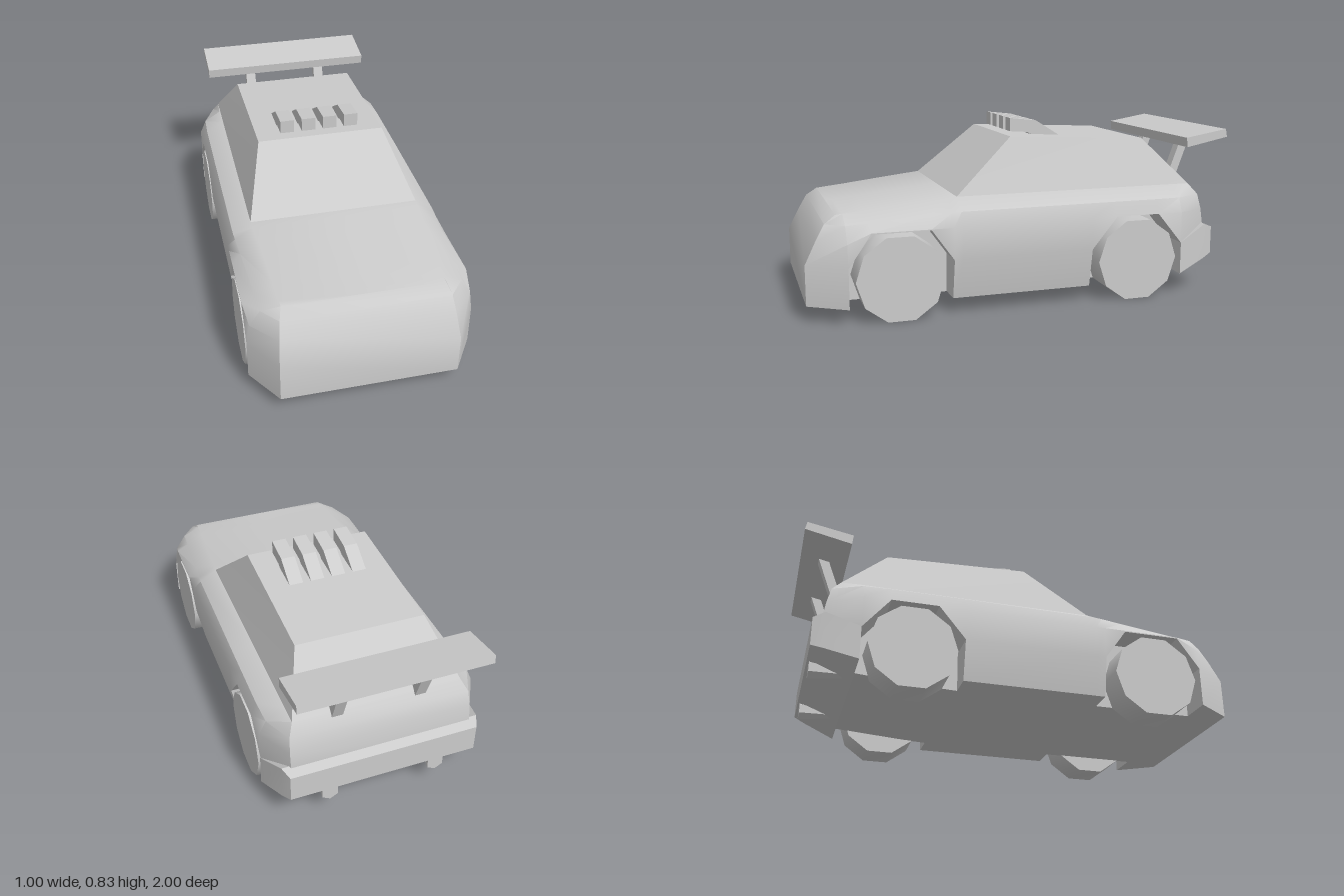
import * as THREE from 'three';
import { toCreasedNormals } from 'three/addons/utils/BufferGeometryUtils.js';

const grey = new THREE.MeshStandardMaterial({ color: 0xcccccc });

function add(parent, name, geometry) {
  const mesh = new THREE.Mesh(geometry, grey);
  mesh.name = name;
  parent.add(mesh);
  return mesh;
}

// Skins mirrored half-sections (bottom centre, up the +x side, top centre), listed front to back.
function loft(stations, crease) {
  const pos = [];
  const v = (p) => new THREE.Vector3(...p);
  const tri = (a, b, c) => {
    const area = v(b).sub(v(a)).cross(v(c).sub(v(a))).length();
    if (area > 1e-6) pos.push(...a, ...b, ...c);
  };
  const quad = (a, b, c, d) => { tri(a, b, c); tri(a, c, d); };
  const flip = ([x, y, z]) => [-x, y, z];
  const n = stations[0].length - 1;
  for (let s = 0; s < stations.length - 1; s++) {
    const f = stations[s], r = stations[s + 1];
    for (let k = 0; k < n; k++) {
      quad(f[k], r[k], r[k + 1], f[k + 1]);
      quad(flip(f[k + 1]), flip(r[k + 1]), flip(r[k]), flip(f[k]));
    }
  }
  const front = stations[0], rear = stations[stations.length - 1];
  for (let k = 0; k < n; k++) {
    quad(front[k], front[k + 1], flip(front[k + 1]), flip(front[k]));
    quad(flip(rear[k]), flip(rear[k + 1]), rear[k + 1], rear[k]);
  }
  const g = new THREE.BufferGeometry();
  g.setAttribute('position', new THREE.Float32BufferAttribute(pos, 3));
  return toCreasedNormals(g, crease);
}

// Side profile given as [z, y], extruded across x and centred.
function sidePrism(points, width) {
  const shape = new THREE.Shape(points.map(([z, y]) => new THREE.Vector2(z, y)));
  const g = new THREE.ExtrudeGeometry(shape, { depth: width, bevelEnabled: false });
  return g.translate(0, 0, -width / 2).rotateY(-Math.PI / 2);
}

// One body station: floor, wheel-well wall, sill, waist, shoulder, upper edge, deck.
function section(z, floor, bottom, sillX, waistY, upper, deck) {
  const [ux, uy] = upper, [dx, dy] = deck;
  return [
    [0, floor, z], [0.35, floor, z], [0.35, bottom, z], [sillX, bottom, z], [0.5, waistY, z],
    [0.5, Math.max(0.395, waistY), z], [ux, uy, z], [dx, dy, z], [0, dy, z],
  ];
}

function bodyStations() {
  const nose = [
    [0, 0.07, 1], [0.35, 0.07, 1], [0.35, 0.07, 1], [0.39, 0.07, 1], [0.39, 0.25, 1],
    [0.38, 0.35, 0.95], [0.37, 0.42, 0.91], [0.355, 0.455, 0.86], [0, 0.455, 0.86],
  ];
  const tail = [
    [0, 0.16, -0.88], [0.35, 0.16, -0.88], [0.35, 0.16, -0.88], [0.41, 0.16, -0.88], [0.415, 0.25, -0.9],
    [0.415, 0.39, -0.878], [0.41, 0.46, -0.86], [0.385, 0.51, -0.82], [0, 0.51, -0.82],
  ];
  const cheek = (bottom) => {
    const s = section(0.83, 0.07, bottom, 0.5, 0.25, [0.437, 0.42], [0.357, 0.458]);
    s[5] = [0.485, 0.35, 0.83];
    return s;
  };
  const u = [0.475, 0.46], d = [0.39, 0.51];
  return [
    nose,
    cheek(0.07), cheek(0.25),
    // front wheel arch
    section(0.73, 0.07, 0.39, 0.5, 0.39, [0.443, 0.428], [0.362, 0.468]),
    section(0.47, 0.07, 0.39, 0.5, 0.39, [0.462, 0.448], [0.38, 0.496]),
    section(0.37, 0.07, 0.25, 0.5, 0.25, [0.47, 0.456], [0.387, 0.506]),
    // door sills
    section(0.37, 0.07, 0.07, 0.465, 0.25, [0.47, 0.456], [0.387, 0.506]),
    section(0.33, 0.07, 0.07, 0.465, 0.25, [0.473, 0.458], d),
    section(-0.28, 0.07, 0.07, 0.465, 0.25, u, d),
    // rear wheel arch
    section(-0.28, 0.07, 0.25, 0.5, 0.25, u, d),
    section(-0.4, 0.075, 0.395, 0.5, 0.395, u, d),
    section(-0.61, 0.09, 0.395, 0.5, 0.395, u, d),
    section(-0.73, 0.1, 0.25, 0.5, 0.25, [0.47, 0.46], d),
    section(-0.73, 0.1, 0.1, 0.5, 0.25, [0.47, 0.46], d),
    tail,
  ];
}

export function createModel() {
  const car = new THREE.Group();
  car.name = 'car';

  add(car, 'body', loft(bodyStations(), 0.6));

  // Cabin with sloping windscreen, side glass and rear window
  add(car, 'cabin', loft([
    [[0, 0.51, 0.33], [0.39, 0.51, 0.33], [0.297, 0.757, 0.05], [0, 0.757, 0.05]],
    [[0, 0.51, -0.82], [0.385, 0.51, -0.82], [0.297, 0.727, -0.61], [0, 0.727, -0.61]],
  ], 0.3));

  // Rear bumper wrapping the tail
  const bumper = [[-0.73, 0.502, 0.1, 0.25], [-0.88, 0.455, 0.152, 0.32], [-0.93, 0.432, 0.17, 0.3]];
  add(car, 'rearBumper', loft(bumper.map(([z, x, low, high]) =>
    [[0, low, z], [x, low, z], [x, high, z], [0, high, z]]), 0.4));

  // Ten-sided wheels
  const wheel = new THREE.CylinderGeometry(0.195, 0.195, 0.157, 10).rotateZ(Math.PI / 2);
  const wheelGeo = toCreasedNormals(wheel, 0.7);
  for (const [end, z] of [['front', 0.607], ['rear', -0.507]]) {
    for (const side of [1, -1]) {
      add(car, end + (side > 0 ? 'LeftWheel' : 'RightWheel'), wheelGeo).position.set(side * 0.424, 0.1855, z);
    }
  }

  // Roof scoops
  const scoop = sidePrism([[0.015, 0.768], [0.015, 0.83], [-0.115, 0.815], [-0.23, 0.743],
    [-0.1, 0.745], [-0.07, 0.762]], 0.065);
  for (let i = 0; i < 4; i++) add(car, 'roofScoop', scoop).position.x = -0.153 + i * 0.102;

  // Rear wing on two struts
  add(car, 'wing', sidePrism([[-0.785, 0.735], [-0.79, 0.69], [-1, 0.732], [-0.993, 0.77]], 0.85));
  const strut = sidePrism([[-0.785, 0.48], [-0.83, 0.48], [-0.92, 0.722], [-0.872, 0.712]], 0.05);

  // Flared exhaust pipes, narrowing forwards
  const pipe = new THREE.CylinderGeometry(0.022, 0.042, 0.16, 6).rotateX(Math.PI / 2);
  const pipeGeo = toCreasedNormals(pipe, 0.5);
  for (const side of [1, -1]) {
    add(car, 'wingStrut', strut).position.x = side * 0.19;
    add(car, 'exhaust', pipeGeo).position.set(side * 0.25, 0.136, -0.84);
  }
  return car;
}
